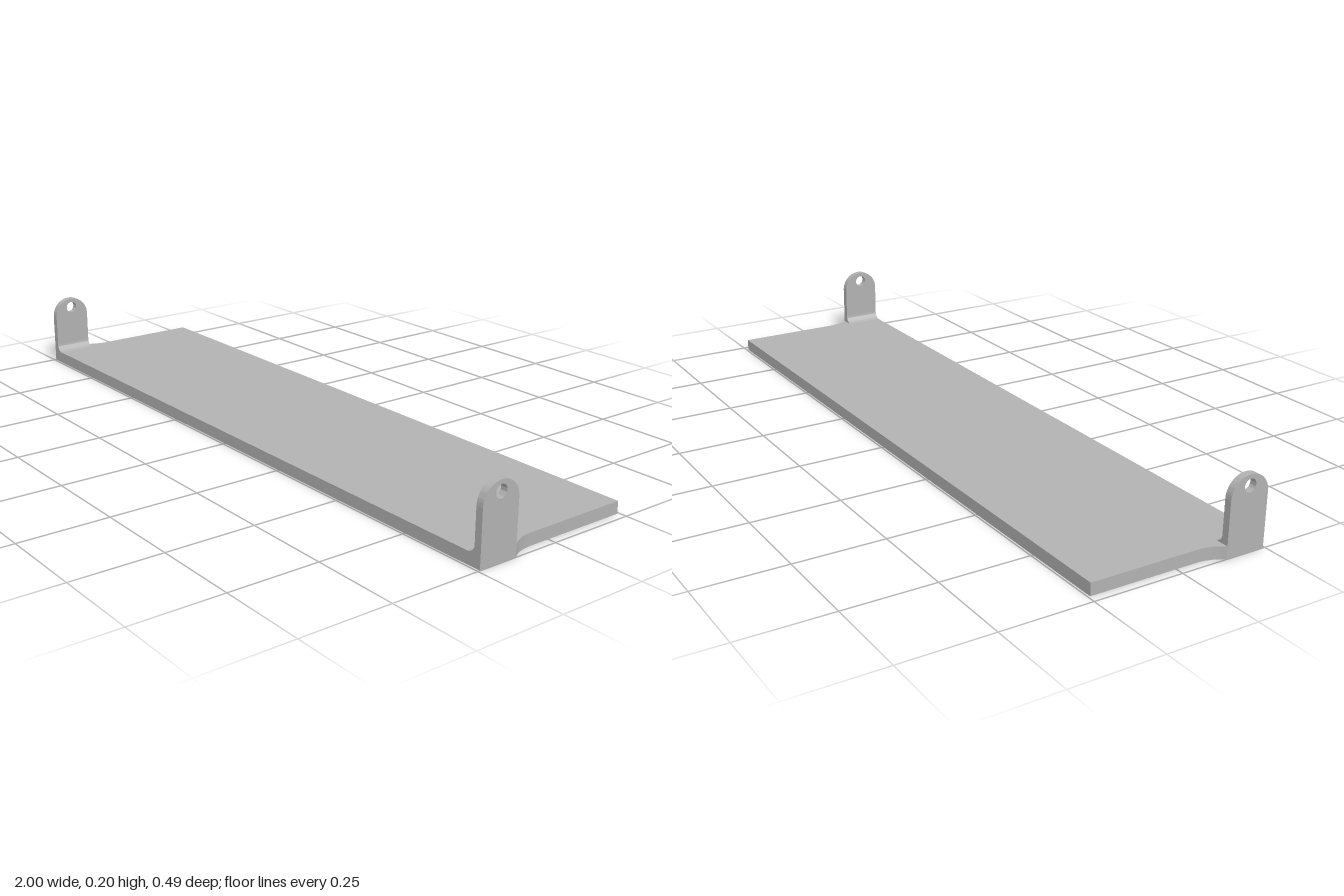
import * as THREE from 'three';
import { toCreasedNormals } from 'three/addons/utils/BufferGeometryUtils.js';

const PLATE_TOP = 0.034;
const HALF_DEPTH = 0.244;
const EAR_BACK = 0.131;
const EAR_THICK = 0.02;

const extrude = (shape, depth) =>
  new THREE.ExtrudeGeometry(shape, { depth, bevelEnabled: false, curveSegments: 24 });

export function createModel() {
  const grey = new THREE.MeshStandardMaterial({ color: 0xb2b2b2 });
  grey.name = 'grey';
  const group = new THREE.Group();
  group.name = 'bracketShelf';

  const add = (name, geometry) => {
    const mesh = new THREE.Mesh(toCreasedNormals(geometry, 0.5), grey);
    mesh.name = name;
    group.add(mesh);
  };

  // Flat plate, flaring out at the front corners to meet the ears
  const outline = new THREE.Shape();
  outline.moveTo(-0.977, -HALF_DEPTH);
  outline.lineTo(0.977, -HALF_DEPTH);
  outline.lineTo(0.977, 0.06);
  outline.quadraticCurveTo(0.977, 0.1, 1, EAR_BACK);
  outline.lineTo(1, HALF_DEPTH);
  outline.lineTo(-1, HALF_DEPTH);
  outline.lineTo(-1, EAR_BACK);
  outline.quadraticCurveTo(-0.977, 0.1, -0.977, 0.06);
  outline.closePath();
  add('plate', extrude(outline, PLATE_TOP).rotateX(Math.PI / 2).translate(0, PLATE_TOP, 0));

  // Upright ear with a round top and a pin hole, drawn in z and y
  const radius = (HALF_DEPTH - EAR_BACK) / 2;
  const earZ = EAR_BACK + radius;
  const ear = new THREE.Shape();
  ear.moveTo(EAR_BACK, PLATE_TOP);
  ear.lineTo(HALF_DEPTH, PLATE_TOP);
  ear.lineTo(HALF_DEPTH, 0.205 - radius);
  ear.absarc(earZ, 0.205 - radius, radius, 0, Math.PI, false);
  ear.closePath();
  const hole = new THREE.Path();
  hole.absarc(earZ, 0.176, 0.0175, 0, Math.PI * 2, true);
  ear.holes.push(hole);

  for (const [side, s] of [['left', 1], ['right', -1]]) {
    add(side + 'Ear',
      extrude(ear, EAR_THICK).rotateY(-Math.PI / 2).translate(s > 0 ? 1 : EAR_THICK - 1, 0, 0));

    // Rounded inside corner between ear and plate
    const inner = 1 - EAR_THICK;
    const r = 0.022;
    const fillet = new THREE.Shape();
    fillet.moveTo(s * inner, PLATE_TOP);
    fillet.lineTo(s * inner, PLATE_TOP + r);
    fillet.absarc(s * (inner - r), PLATE_TOP + r, r, s > 0 ? 0 : Math.PI,
      s > 0 ? -Math.PI / 2 : Math.PI * 1.5, s > 0);
    fillet.closePath();
    add(side + 'Fillet', extrude(fillet, HALF_DEPTH - EAR_BACK).translate(0, 0, EAR_BACK));
  }
  return group;
}
